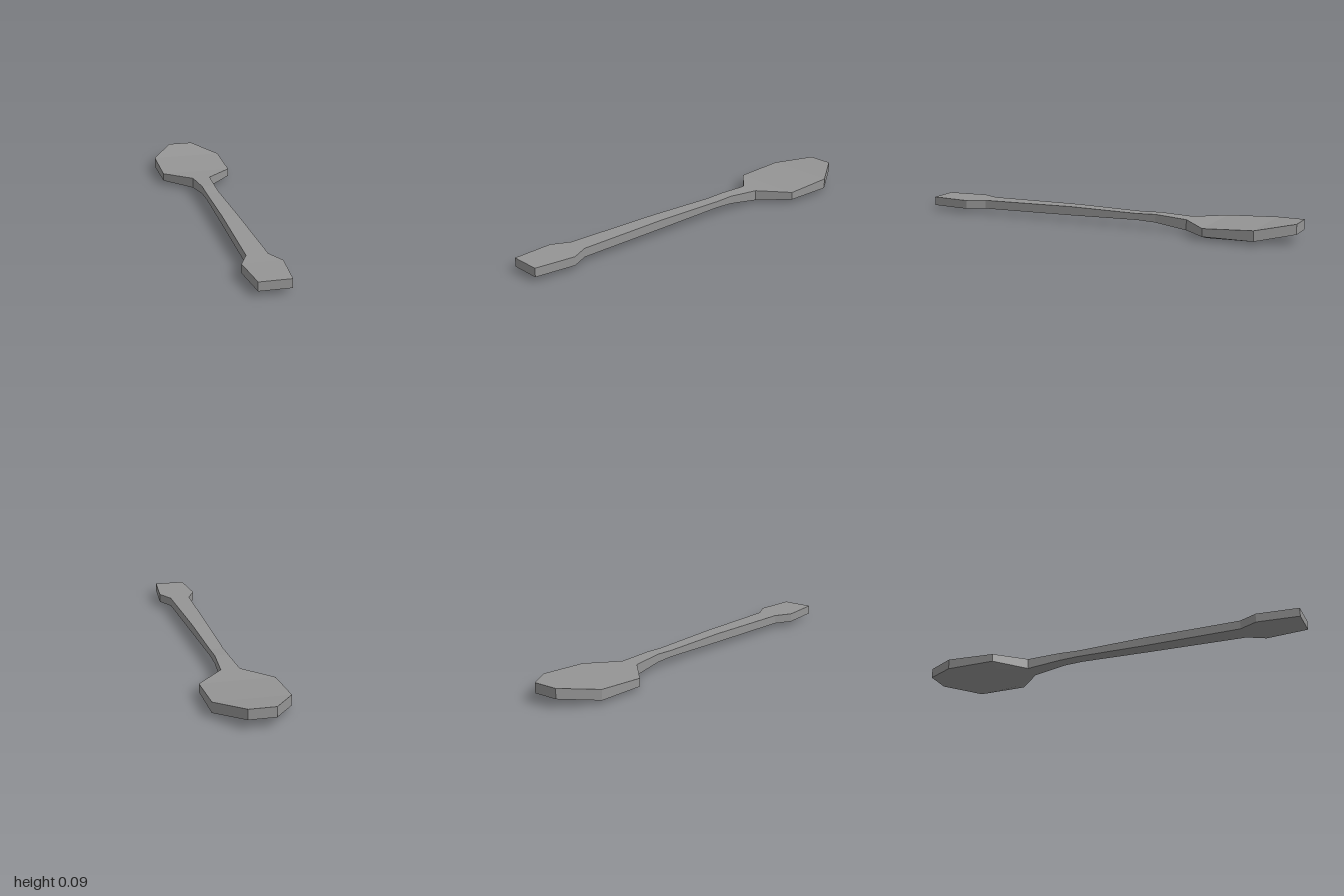
import * as THREE from 'three';

// Lofts flat-shaded geometry through closed rings of points
function loft(rings) {
  const pos = [];
  const same = (a, b) => a.every((v, i) => v === b[i]);
  const tri = (a, b, c) => {
    if (!same(a, b) && !same(b, c) && !same(c, a)) pos.push(...a, ...b, ...c);
  };
  const n = rings[0].length;
  for (let i = 0; i < rings.length - 1; i++) {
    for (let j = 0; j < n; j++) {
      const k = (j + 1) % n;
      const [a, b, c, d] = [rings[i][j], rings[i][k], rings[i + 1][k], rings[i + 1][j]];
      tri(a, d, b);
      tri(b, d, c);
    }
  }
  // end caps
  const first = rings[0], last = rings[rings.length - 1];
  for (let j = 1; j < n - 1; j++) {
    tri(first[0], first[j], first[j + 1]);
    tri(last[0], last[j + 1], last[j]);
  }
  const g = new THREE.BufferGeometry();
  g.setAttribute('position', new THREE.Float32BufferAttribute(pos, 3));
  g.computeVertexNormals();
  return g;
}

// Cross-section: half width w, top t, side bottom b; the keel (kw, k) is a plain
// bottom edge unless given
const section = ([z, w, t, b, kw = w, k = b]) => [
  [w, t, z], [-w, t, z], [-w, b, z], [-kw, k, z], [kw, k, z], [w, b, z],
];

export function createModel() {
  const group = new THREE.Group();
  group.name = 'spoon';
  const material = new THREE.MeshStandardMaterial({ color: 0x959595, flatShading: true });

  // z, half width, top, side bottom, keel half width, keel height
  const sections = [
    // handle with flared end
    [1.0, 0.078, 0.067, 0.023],
    [0.79, 0.097, 0.067, 0.023],
    [0.7, 0.052, 0.068, 0.024],
    [0.2, 0.04, 0.074, 0.029],
    [-0.17, 0.034, 0.069, 0.036],
    [-0.27, 0.034, 0.073, 0.032],
    [-0.44, 0.046, 0.064, 0.011],
    // bowl
    [-0.575, 0.183, 0.058, 0.018, 0.12, 0.0],
    [-0.83, 0.183, 0.071, 0.019],
    [-1.0, 0.065, 0.095, 0.045],
  ].map(section);

  const neck = 6;
  const parts = { handle: sections.slice(0, neck + 1), bowl: sections.slice(neck) };
  for (const [name, rings] of Object.entries(parts)) {
    const mesh = new THREE.Mesh(loft(rings), material);
    mesh.name = name;
    group.add(mesh);
  }
  return group;
}
